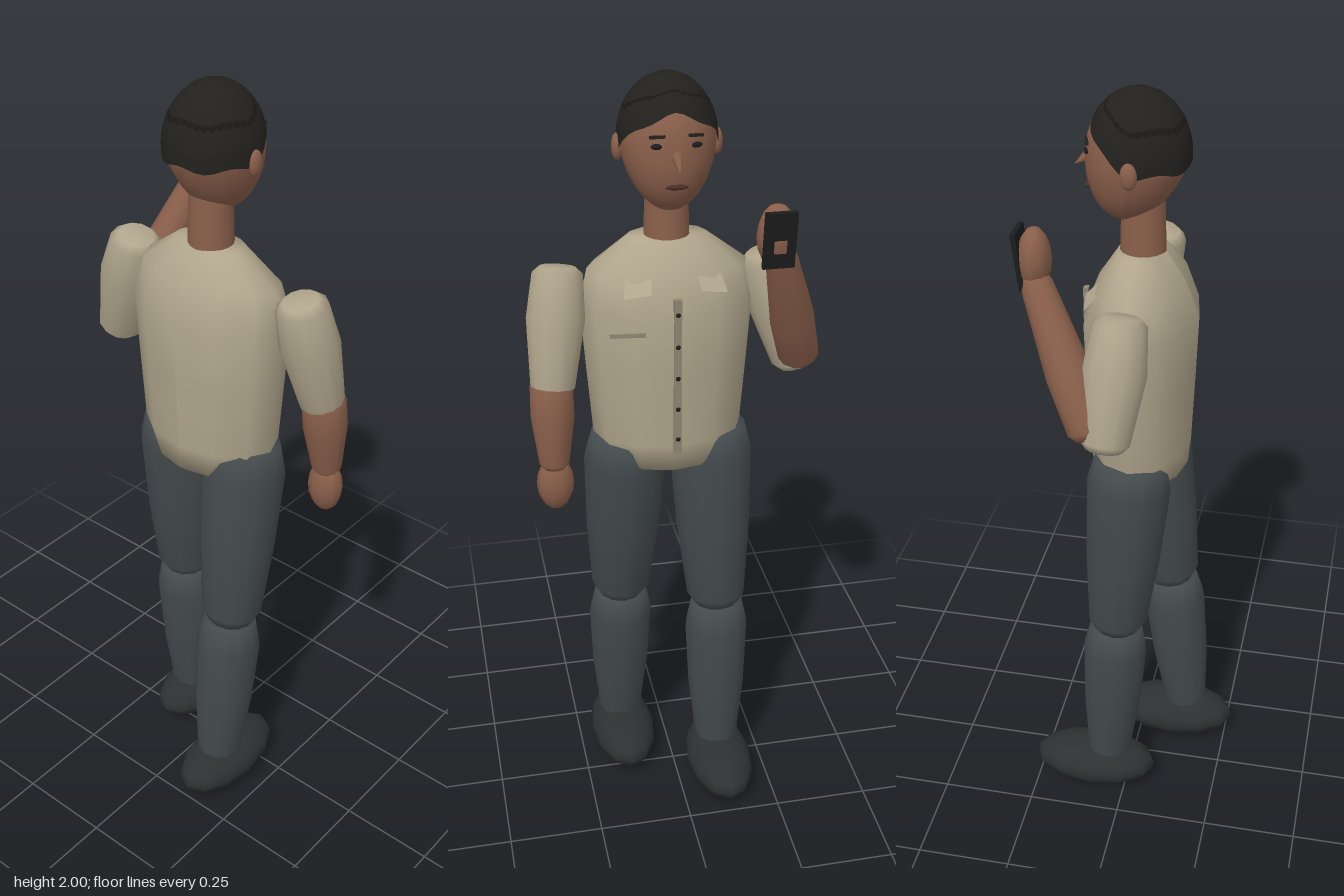
import * as THREE from 'three';

const CX = 0.012; // body midline
const mat = (color) => new THREE.MeshStandardMaterial({ color });
const V = (x, y, z) => new THREE.Vector3(x, y, z);

export function createModel() {
  const root = new THREE.Group();
  const shirt = mat(0xb0a58c), skin = mat(0x8a5f4b), trousers = mat(0x434a4c);
  const hairMat = mat(0x22211e), shoeMat = mat(0x2d3131), dark = mat(0x1b1c1d);
  const trim = mat(0x8f8773);
  shirt.side = hairMat.side = THREE.DoubleSide;

  function add(name, geo, material, x = 0, y = 0, z = 0, parent = root) {
    const m = new THREE.Mesh(geo, material);
    m.name = name;
    m.position.set(x, y, z);
    parent.add(m);
    return m;
  }
  function ball(name, material, p, r, w = 12, h = 9) {
    return add(name, new THREE.SphereGeometry(1, w, h).scale(...r), material, ...p);
  }
  // Lathed limb from a to b; profile holds [fraction along, radius]
  function limb(name, material, a, b, profile, seg = 12) {
    const len = a.distanceTo(b);
    const pts = profile.map(([t, r]) => new THREE.Vector2(r, t * len));
    const m = add(name, new THREE.LatheGeometry(pts, seg), material, a.x, a.y, a.z);
    m.quaternion.setFromUnitVectors(V(0, 1, 0), b.clone().sub(a).normalize());
    return m;
  }
  // Rounded limb profile from radius r0 to r1 with a bulge between
  const rounded = (r0, mid, r1) => [[0, 0], [0.005, r0 * 0.7], [0.06, r0], [0.4, mid], [0.93, r1], [0.99, r1 * 0.75], [1, 0]];

  // Torso: elliptical rings [y, rx, rz]
  const rings = [[1.03, 0, 0], [1.03, 0.155, 0.12], [1.1, 0.19, 0.127], [1.3, 0.205, 0.135], [1.45, 0.215, 0.14],
    [1.54, 0.195, 0.105], [1.615, 0.095, 0.056], [1.615, 0, 0]];
  const torsoGeo = new THREE.LatheGeometry(rings.map(([y]) => new THREE.Vector2(1, y)), 12);
  const tp = torsoGeo.attributes.position;
  for (let i = 0; i < tp.count; i++) {
    const [y, rx, rz] = rings[i % rings.length];
    tp.setXYZ(i, CX + tp.getX(i) * rx, y, 0.018 + tp.getZ(i) * rz);
  }
  torsoGeo.computeVertexNormals();
  add('shirtTorso', torsoGeo, shirt);

  // Button placket, buttons and chest pocket edge
  add('buttonPlacket', new THREE.BoxGeometry(0.018, 0.41, 0.012), trim, CX, 1.295, -0.12);
  for (let i = 0; i < 5; i++) ball('button', dark, [CX, 1.13 + i * 0.083, -0.126], [0.006, 0.006, 0.004], 8, 6);
  add('pocketEdge', new THREE.BoxGeometry(0.085, 0.01, 0.005), trim, 0.133, 1.42, -0.125).rotation.y = -0.12;

  // Collar flaps
  for (const s of [-1, 1]) {
    const flap = new THREE.BufferGeometry().setFromPoints(
      [V(0.05, 1.58, -0.04), V(0.11, 1.555, -0.048), V(0.125, 1.5, -0.098), V(0.06, 1.51, -0.108)]
        .map((p) => p.setX(CX + s * p.x)));
    flap.setIndex(s > 0 ? [0, 1, 2, 0, 2, 3] : [0, 2, 1, 0, 3, 2]);
    flap.computeVertexNormals();
    add('collarFlap', flap, shirt);
  }

  // Neck and head
  add('neck', new THREE.CylinderGeometry(0.052, 0.056, 0.14, 16), skin, CX, 1.67, 0.02);
  const headGeo = new THREE.SphereGeometry(1, 28, 20);
  const hp = headGeo.attributes.position;
  for (let i = 0; i < hp.count; i++) {
    const y = hp.getY(i), s = Math.max(0, -y); // jaw narrows and moves forward
    const k = 1 - 0.1 * s;
    hp.setXYZ(i, hp.getX(i) * 0.113 * k, y * (y > 0 ? 0.146 : 0.162), hp.getZ(i) * 0.121 * k - 0.028 * s);
  }
  headGeo.computeVertexNormals();
  add('head', headGeo, skin, CX, 1.85, 0.008);

  // Hair cap: hairline is high at the brow and low at the nape
  const hairGeo = new THREE.SphereGeometry(1, 36, 14, 0, Math.PI * 2, 0, Math.PI / 2);
  const q = hairGeo.attributes.position, uv = hairGeo.attributes.uv;
  for (let i = 0; i < q.count; i++) {
    const a = uv.getX(i) * Math.PI * 2, t = 1 - uv.getY(i);
    const fullT = t * 2 <= 1.001 ? t * 2 : t;
    const front = Math.max(0, -Math.sin(a));
    const edge = 1.7 + 0.04 * Math.cos(a * 6) - 0.68 * Math.pow(front, 1.3);
    const th = fullT * edge;
    q.setXYZ(i, -Math.cos(a) * Math.sin(th) * 0.118, Math.cos(th) * 0.15, Math.sin(a) * Math.sin(th) * 0.123);
  }
  hairGeo.computeVertexNormals();
  add('hair', hairGeo, hairMat, CX, 1.85, 0.009);

  // Face and ears
  const nose = add('nose', new THREE.ConeGeometry(0.02, 0.06, 8), skin, CX, 1.828, -0.118);
  nose.rotation.x = -2.2;
  ball('mouth', mat(0x4a2c26), [CX, 1.768, -0.108], [0.027, 0.006, 0.008]);
  for (const s of [-1, 1]) {
    ball('ear', skin, [CX + s * 0.117, 1.835, 0.008], [0.014, 0.032, 0.02]);
    ball('eye', dark, [CX + s * 0.044, 1.862, -0.101], [0.015, 0.007, 0.007]);
    const brow = add('eyebrow', new THREE.BoxGeometry(0.036, 0.006, 0.008), hairMat, CX + s * 0.044, 1.884, -0.102);
    brow.rotation.set(0, -s * 0.25, -s * 0.08);
  }

  // Legs in mid stride: [side, x, knee z, ankle z, shoe z]
  for (const [side, x, kneeZ, ankleZ, shoeZ] of [['left', 0.132, 0.082, 0.132, 0.097], ['right', -0.115, -0.025, -0.05, -0.09]]) {
    const hip = V(x > 0 ? 0.118 : -0.098, 1.1, 0.012);
    limb(side + 'Thigh', trousers, V(x, 0.56, kneeZ), hip,
      [[0, 0], [0.005, 0.058], [0.07, 0.079], [0.45, 0.098], [0.85, 0.108], [0.99, 0.09], [1, 0]]);
    limb(side + 'Shin', trousers, V(x, 0.1, ankleZ), V(x, 0.575, kneeZ),
      [[0, 0], [0.005, 0.05], [0.06, 0.06], [0.45, 0.079], [0.82, 0.086], [0.98, 0.07], [1, 0]]);
    ball(side + 'Shoe', shoeMat, [x, 0.066, shoeZ], [0.09, 0.066, 0.172], 12, 10);
  }

  // Left arm hanging
  limb('leftSleeve', shirt, V(0.275, 1.55, 0.02), V(0.308, 1.245, -0.045), rounded(0.063, 0.073, 0.056));
  limb('leftForearm', skin, V(0.31, 1.28, -0.043), V(0.314, 1.05, -0.067), rounded(0.054, 0.055, 0.038));
  ball('leftHand', skin, [0.313, 1.008, -0.065], [0.047, 0.074, 0.037], 10, 8);

  // Right arm raised, holding a phone
  limb('rightSleeve', shirt, V(-0.227, 1.555, 0.018), V(-0.317, 1.25, -0.008), rounded(0.064, 0.077, 0.06));
  limb('rightForearm', skin, V(-0.315, 1.28, -0.035), V(-0.21, 1.635, -0.19), rounded(0.052, 0.055, 0.038));
  ball('rightHand', skin, [-0.203, 1.667, -0.186], [0.048, 0.076, 0.039], 10, 8);
  add('phone', new THREE.BoxGeometry(0.075, 0.138, 0.012), dark, -0.202, 1.667, -0.217).rotation.x = -0.12;

  return root;
}
